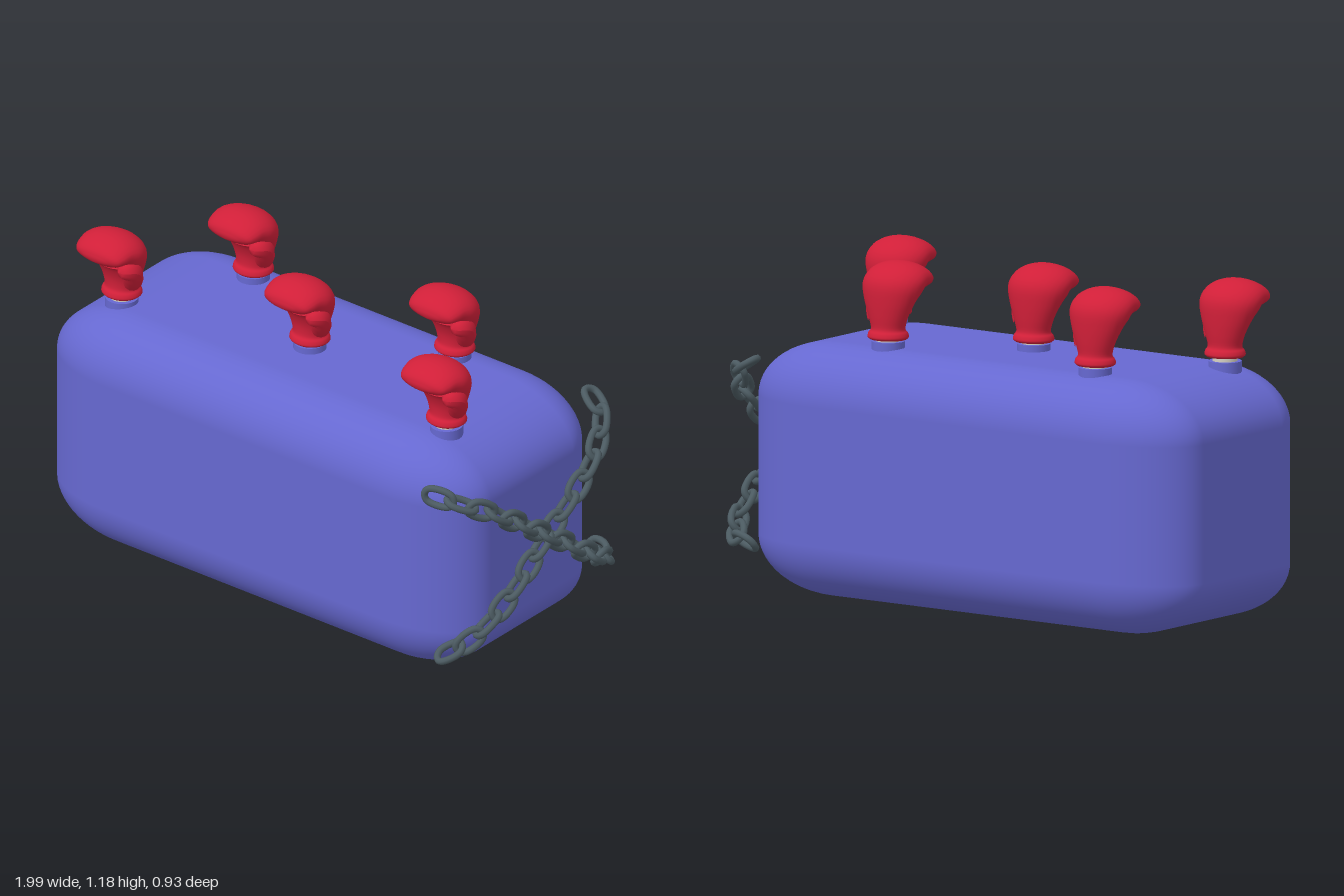
import * as THREE from 'three';
import { RoundedBoxGeometry } from 'three/addons/geometries/RoundedBoxGeometry.js';

const mat = (color) => new THREE.MeshStandardMaterial({ color });
const blue = mat(0x6668d0), red = mat(0xd01f38), steel = mat(0x4c5b62), cream = mat(0xd6d2c4);

function add(parent, name, geometry, material, x = 0, y = 0, z = 0) {
  const mesh = new THREE.Mesh(geometry, material);
  mesh.name = name;
  mesh.position.set(x, y, z);
  parent.add(mesh);
  return mesh;
}

// Loft of oval rings along a spine that rises and curls forward.
// Each row: spine y, spine z, tilt in degrees, half width, half depth.
function gloveGeometry() {
  const rows = [
    [0, 0, 0, 0.066, 0.06], [0.008, 0, 0, 0.074, 0.067], [0.022, 0, 0, 0.071, 0.063],
    [0.038, 0, 0, 0.063, 0.053], [0.08, 0, 0, 0.076, 0.056], [0.13, 0.008, 5, 0.097, 0.067],
    [0.172, 0.02, 25, 0.113, 0.078], [0.198, 0.045, 55, 0.118, 0.067], [0.209, 0.08, 82, 0.112, 0.056],
    [0.203, 0.115, 105, 0.104, 0.046], [0.196, 0.138, 112, 0.088, 0.033], [0.192, 0.152, 114, 0.045, 0.014],
  ];
  const spine = new THREE.CatmullRomCurve3(rows.map((r) => new THREE.Vector3(r[0], r[1], r[2] / 200)), false, 'catmullrom', 0.5);
  const size = new THREE.CatmullRomCurve3(rows.map((r) => new THREE.Vector3(r[3], r[4], 0)), false, 'catmullrom', 0.5);
  const rings = 44, sides = 28, positions = [], index = [];
  for (let i = 0; i <= rings; i++) {
    const p = spine.getPoint(i / rings), s = size.getPoint(i / rings);
    const a = THREE.MathUtils.degToRad(p.z * 200);
    for (let j = 0; j < sides; j++) {
      const t = (j / sides) * Math.PI * 2;
      const d = Math.cos(t) * s.y;
      positions.push(Math.sin(t) * s.x, p.x - d * Math.sin(a), p.y + d * Math.cos(a));
      if (i < rings) {
        const k = (j + 1) % sides, b = i * sides, c = b + sides;
        index.push(b + j, b + k, c + j, b + k, c + k, c + j);
      }
    }
  }
  // End caps
  const bottom = positions.length / 3, last = rings * sides;
  positions.push(0, 0, 0, 0, 0.19, 0.157);
  for (let j = 0; j < sides; j++) {
    const k = (j + 1) % sides;
    index.push(bottom, k, j, bottom + 1, last + j, last + k);
  }
  const g = new THREE.BufferGeometry();
  g.setAttribute('position', new THREE.Float32BufferAttribute(positions, 3));
  g.setIndex(index);
  g.computeVertexNormals();
  return g;
}

// Bent, tapered thumb: a tube whose rings shrink to a round tip.
function thumbGeometry() {
  const path = new THREE.CatmullRomCurve3([
    new THREE.Vector3(0.05, 0.06, 0.005), new THREE.Vector3(0.077, 0.105, 0.035),
    new THREE.Vector3(0.088, 0.14, 0.06), new THREE.Vector3(0.07, 0.148, 0.108),
  ]);
  const rings = 20, sides = 14;
  const g = new THREE.TubeGeometry(path, rings, 1, sides);
  const pos = g.attributes.position, v = new THREE.Vector3();
  for (let i = 0; i <= rings; i++) {
    const c = path.getPointAt(i / rings), u = i / rings;
    const r = 0.036 * Math.sqrt(Math.max(0, 1 - Math.pow(Math.abs(u - 0.4) / 0.6, 4)));
    for (let j = 0; j <= sides; j++) {
      const n = i * (sides + 1) + j;
      v.fromBufferAttribute(pos, n).sub(c).multiplyScalar(r).add(c);
      pos.setXYZ(n, v.x, v.y, v.z);
    }
  }
  g.computeVertexNormals();
  return g;
}

// One oval chain link, long along x, lying in the xy plane.
function linkGeometry() {
  const points = [];
  for (const side of [1, -1]) {
    for (let i = 0; i <= 4; i++) {
      const a = -Math.PI / 2 + (i / 4) * Math.PI;
      points.push(new THREE.Vector3(side * (0.023 + 0.031 * Math.cos(a)), side * 0.031 * Math.sin(a), 0));
    }
  }
  return new THREE.TubeGeometry(new THREE.CatmullRomCurve3(points, true), 36, 0.0125, 8, true);
}

// Links alternate a quarter turn while following the path.
function makeChain(name, coords, geometry) {
  const chain = new THREE.Group();
  chain.name = name;
  const path = new THREE.CatmullRomCurve3(coords.map((c) => new THREE.Vector3(...c)));
  const count = Math.round(path.getLength() / 0.083);
  for (let i = 0; i < count; i++) {
    const u = (i + 0.5) / count;
    const t = path.getTangentAt(u);
    const side = new THREE.Vector3(1, 0, 0).cross(t).normalize();
    const out = t.clone().cross(side);
    const link = add(chain, 'chainLink', geometry, steel);
    link.quaternion.setFromRotationMatrix(new THREE.Matrix4().makeBasis(t, side, out));
    link.rotateX((i % 2) * Math.PI / 2 + 0.45);
    link.position.copy(path.getPointAt(u));
  }
  return chain;
}

export function createModel() {
  const model = new THREE.Group();
  model.name = 'gloveBlock';

  // Soft block, with longer rounding along its length
  const block = new RoundedBoxGeometry(1.2, 0.885, 0.85, 8, 0.2);
  block.scale(1.88 / 1.2, 1, 1);
  add(model, 'body', block, blue, -0.06, 0.4425, 0.005);

  // Gloves on short posts
  const fist = gloveGeometry(), thumb = thumbGeometry();
  const spots = [[-0.78, 0.195], [0.655, 0.195], [-0.07, 0.045], [-0.53, -0.215], [0.36, -0.215]];
  for (const [x, z] of spots) {
    const glove = new THREE.Group();
    glove.name = 'glove';
    glove.position.set(x, 0.915, z);
    const postTop = z > 0.1 ? -0.015 : -0.007;
    add(glove, 'post', new THREE.CylinderGeometry(0.058, 0.058, 0.06, 24), blue, 0, postTop - 0.03, 0);
    add(glove, 'wrist', new THREE.CylinderGeometry(0.043, 0.043, 0.05, 24), cream, 0, -0.005, 0);
    add(glove, 'fist', fist, red);
    add(glove, 'thumb', thumb, red);
    model.add(glove);
  }

  // Two chains crossing over the left end
  const link = linkGeometry();
  model.add(makeChain('fallingChain', [
    [0.775, 0.772, 0.445], [0.87, 0.75, 0.4], [0.935, 0.68, 0.28], [0.95, 0.48, 0],
    [0.935, 0.275, -0.28], [0.87, 0.205, -0.4], [0.775, 0.188, -0.445],
  ], link));
  model.add(makeChain('risingChain', [
    [0.8, 0.82, -0.41], [0.885, 0.765, -0.365], [0.935, 0.66, -0.25], [0.94, 0.47, 0],
    [0.935, 0.29, 0.25], [0.885, 0.195, 0.365], [0.8, 0.13, 0.41],
  ], link));
  return model;
}
